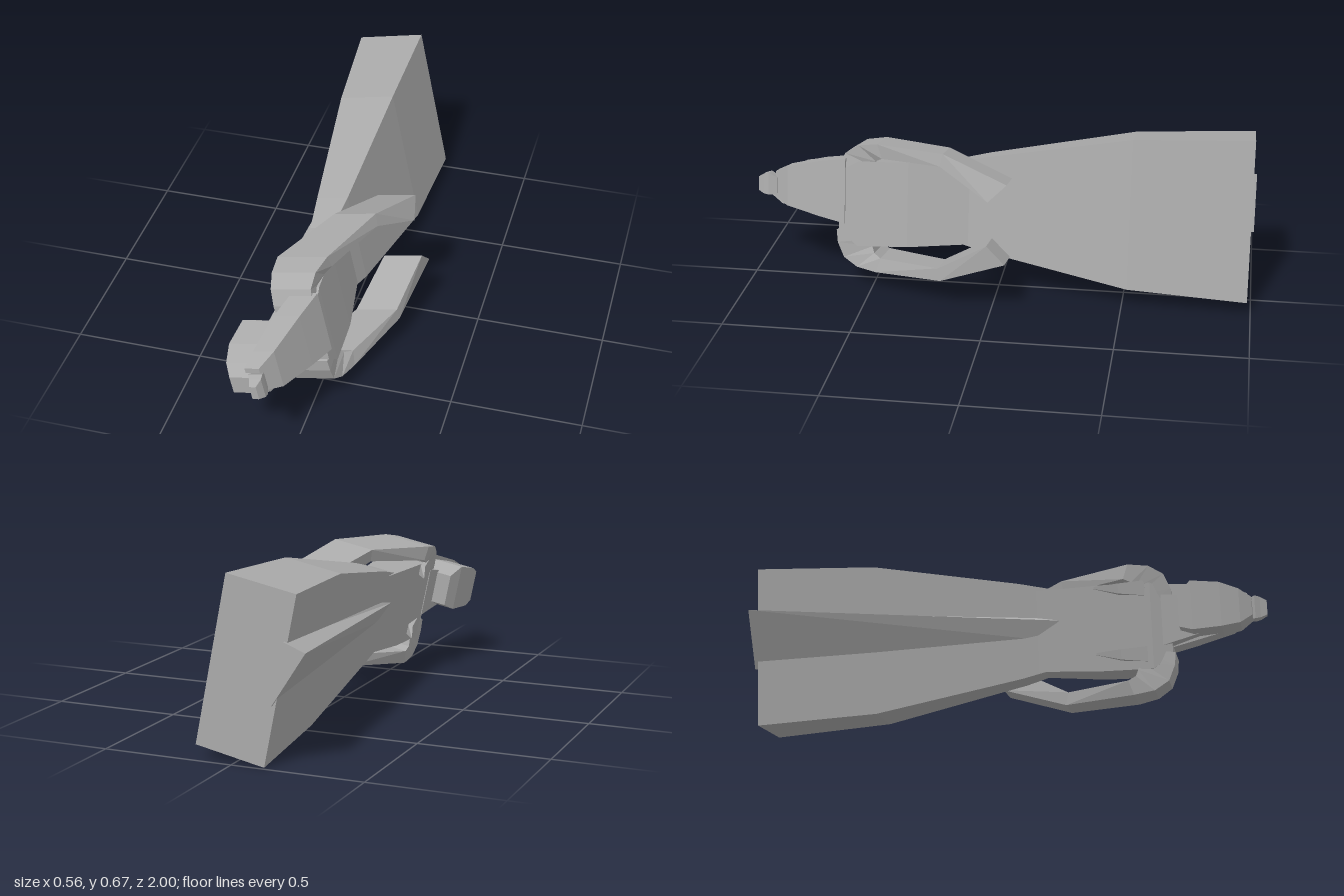
import * as THREE from 'three';

const cloth = new THREE.MeshStandardMaterial({ color: 0xaaaaaa, side: THREE.DoubleSide });
cloth.name = 'stoneGrey';

// Body frame: u runs across the shoulders, v runs back to front, rolled about z.
const place = ([u, v, z]) => new THREE.Vector3(-0.051 - 0.2 * u + 0.98 * v, 0.344 + 0.98 * u + 0.2 * v, z);

// Closed flat-faced solid through rings of points, always turned outward.
function loft(name, rings) {
  const pts = rings.map(r => r.map(place));
  const n = pts[0].length;
  const tris = [];
  for (let i = 0; i + 1 < pts.length; i++) {
    for (let j = 0; j < n; j++) {
      const k = (j + 1) % n;
      const [a, b, c, d] = [pts[i][j], pts[i][k], pts[i + 1][k], pts[i + 1][j]];
      tris.push([a, b, c], [a, c, d]);
    }
  }
  const last = pts[pts.length - 1];
  for (let j = 1; j + 1 < n; j++) {
    tris.push([pts[0][0], pts[0][j + 1], pts[0][j]], [last[0], last[j], last[j + 1]]);
  }
  const centre = pts[0][0];
  const sub = p => p.clone().sub(centre);
  const volume = tris.reduce((s, [a, b, c]) => s + sub(a).dot(sub(b).cross(sub(c))), 0);
  const flat = tris.flatMap(t => (volume < 0 ? [t[0], t[2], t[1]] : t));
  const geometry = new THREE.BufferGeometry().setFromPoints(flat);
  geometry.computeVertexNormals();
  const mesh = new THREE.Mesh(geometry, cloth);
  mesh.name = name;
  return mesh;
}

// Four-sided ring at height z
const box = (u0, u1, v0, v1, z) => [[u0, v0, z], [u1, v0, z], [u1, v1, z], [u0, v1, z]];

// Sleeve curving over the shoulder and down to the hand
function arm(name, side) {
  // outer u, outer z, inner u, inner z, back v, front v
  const stations = [
    [0.10, 0.645, 0.08, 0.52, -0.065, 0.085],
    [0.15, 0.64, 0.13, 0.51, -0.07, 0.085],
    [0.21, 0.615, 0.16, 0.5, -0.075, 0.08],
    [0.245, 0.56, 0.185, 0.49, -0.08, 0.09],
    [0.257, 0.48, 0.20, 0.46, -0.08, 0.115],
    [0.25, 0.2, 0.2, 0.21, 0.06, 0.225],
    [0.155, -0.06, 0.085, 0.012, 0.145, 0.3],
  ];
  return loft(name, stations.map(([uo, zo, ui, zi, v0, v1]) => {
    const o = side * uo - 0.03, i = side * ui - 0.03;
    return [[o, v0, zo], [o, v1, zo], [i, v1, zi], [i, v0, zi]];
  }));
}

export function createModel() {
  const model = new THREE.Group();
  model.name = 'robedFigure';

  // Long flared robe
  model.add(loft('robe', [
    box(-0.316, 0.316, -0.135, 0.135, -0.985),
    box(-0.295, 0.295, -0.1, 0.122, -0.52),
    box(-0.19, 0.19, -0.06, 0.065, 0.05),
    box(-0.15, 0.15, -0.05, 0.035, 0.22),
  ]));

  // Pleat running down the back of the robe
  model.add(loft('backPleat', [
    [[0.146, -0.125, -1], [0.131, -0.212, -1], [-0.089, -0.125, -1]],
    [[0.05, -0.04, 0.2], [0.03, -0.062, 0.2], [-0.05, -0.04, 0.2]],
  ]));

  // Torso
  model.add(loft('torso', [
    box(-0.165, 0.155, -0.055, 0.05, 0.1),
    box(-0.185, 0.155, -0.07, 0.085, 0.36),
    box(-0.19, 0.15, -0.075, 0.09, 0.56),
    box(-0.13, 0.11, -0.06, 0.09, 0.635),
  ]));

  // Arms
  model.add(arm('leftArm', -1), arm('rightArm', 1));

  // Sloping wrap from chest to face
  model.add(loft('wrap', [
    box(-0.1, 0.16, 0.0, 0.1, 0.61),
    box(-0.085, 0.14, -0.04, 0.06, 0.72),
    box(-0.06, 0.1, -0.08, 0.0, 0.87),
    box(-0.03, 0.07, -0.1, -0.045, 0.93),
  ]));

  // Neck and head
  model.add(loft('neck', [
    box(-0.1, 0.1, -0.07, 0.06, 0.6),
    box(-0.07, 0.08, -0.09, 0.0, 0.74),
  ]));
  model.add(loft('head', [
    box(-0.05, 0.08, -0.14, -0.03, 0.67),
    box(-0.07, 0.12, -0.165, -0.01, 0.72),
    box(-0.07, 0.1, -0.185, -0.02, 0.83),
    box(-0.06, 0.07, -0.18, -0.04, 0.9),
    box(-0.03, 0.04, -0.16, -0.055, 0.945),
  ]));

  // Small knob on the crown
  model.add(loft('crownKnob', [
    box(-0.025, 0.045, -0.075, -0.035, 0.92),
    box(-0.025, 0.065, -0.08, -0.025, 0.955),
    box(-0.02, 0.06, -0.07, -0.025, 0.975),
    box(-0.01, 0.045, -0.065, -0.04, 1.0),
  ]));

  // Thin tufts behind the shoulders
  for (const u of [-0.13, 0.13]) {
    model.add(loft(u < 0 ? 'leftTuft' : 'rightTuft', [
      box(u - 0.03, u + 0.03, -0.075, -0.06, 0.54),
      box(u - 0.02, u + 0.02, -0.095, -0.075, 0.44),
      box(u - 0.004, u + 0.004, -0.13, -0.126, 0.35),
    ]));
  }
  return model;
}
